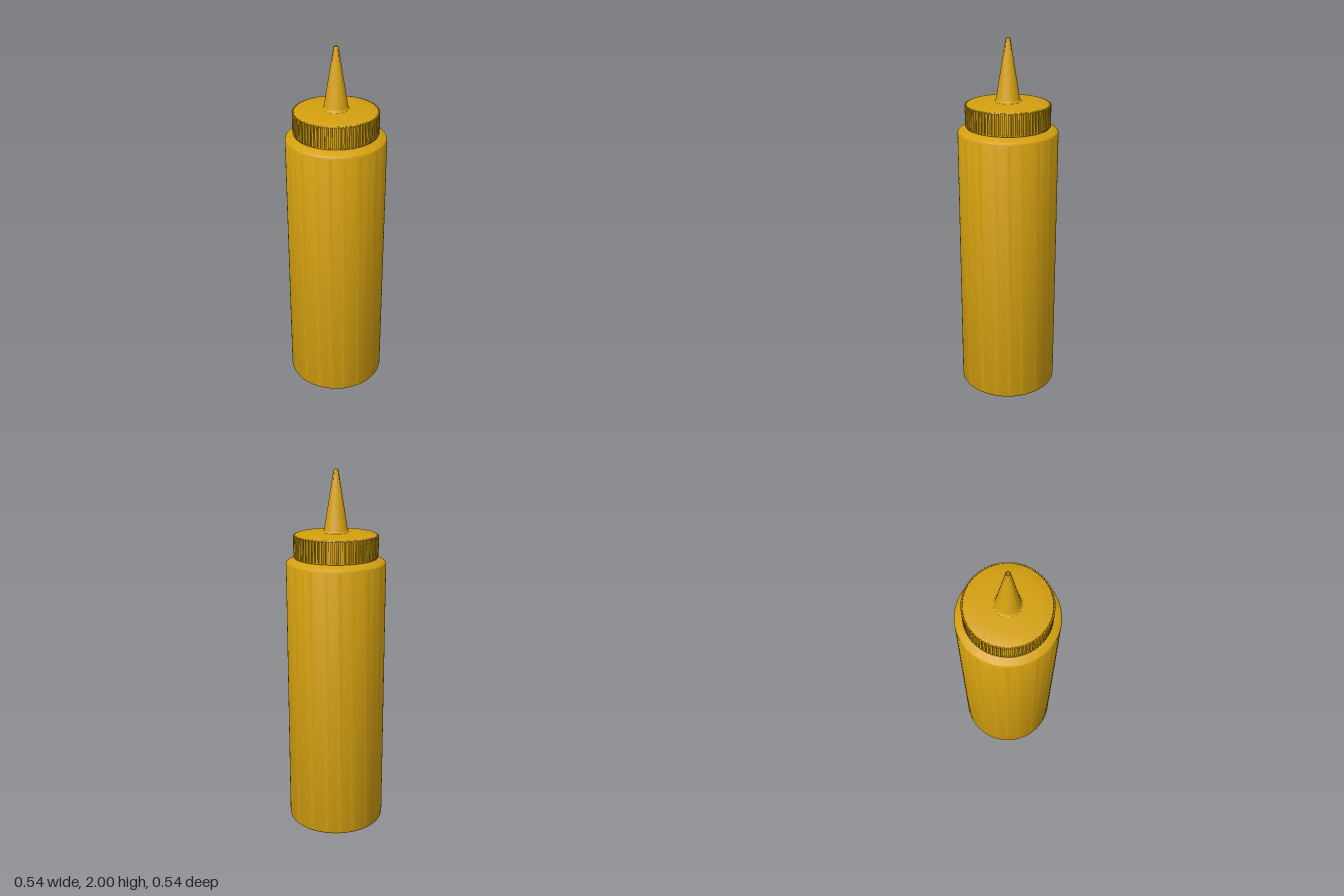
import * as THREE from 'three';
import { toCreasedNormals } from 'three/addons/utils/BufferGeometryUtils.js';

const SEGMENTS = 96;
const RIBS = 72;

// Revolve a [radius, height] profile, listed from the bottom up
function revolve(name, profile, material) {
  const points = profile.map(([r, y]) => new THREE.Vector2(r, y));
  const geometry = toCreasedNormals(new THREE.LatheGeometry(points, SEGMENTS), 0.7);
  const mesh = new THREE.Mesh(geometry, material);
  mesh.name = name;
  return mesh;
}

// Points of a quarter-round corner between two angles (degrees)
function arc(cx, cy, radius, from, to, steps = 5) {
  return Array.from({ length: steps + 1 }, (_, i) => {
    const a = THREE.MathUtils.degToRad(from + ((to - from) * i) / steps);
    return [cx + radius * Math.cos(a), cy + radius * Math.sin(a)];
  });
}

export function createModel() {
  const model = new THREE.Group();
  model.name = 'squeezeBottle';
  const mustard = new THREE.MeshStandardMaterial({ color: 0xd4a010 });
  mustard.name = 'mustard plastic';

  // Bottle body with rounded base, sloped shoulder and hidden neck
  model.add(revolve('body', [
    [0, 0],
    ...arc(0.252, 0.018, 0.018, -90, 0),
    ...arc(0.252, 1.502, 0.018, 0, 65),
    [0.226, 1.53], [0.213, 1.535], [0.213, 1.56], [0, 1.56],
  ], mustard));

  // Cap, with a lower lip and a gently domed top
  const cap = new THREE.Group();
  cap.name = 'cap';
  cap.add(revolve('capShell', [
    [0.2, 1.537], [0.225, 1.537], [0.225, 1.543], [0.222, 1.543],
    ...arc(0.214, 1.653, 0.008, 0, 85),
    [0.15, 1.667], [0.1, 1.67], [0.06, 1.672],
  ], mustard));

  // Grip ribs around the cap
  const ribGeometry = new THREE.BoxGeometry(0.012, 0.113, 0.012);
  for (let i = 0; i < RIBS; i++) {
    const a = (i / RIBS) * Math.PI * 2;
    const rib = new THREE.Mesh(ribGeometry, mustard);
    rib.name = 'gripRib';
    rib.position.set(Math.sin(a) * 0.223, 1.5995, Math.cos(a) * 0.223);
    rib.rotation.y = a;
    cap.add(rib);
  }
  model.add(cap);

  // Tapered nozzle with a flared foot and a small open tip
  model.add(revolve('nozzle', [
    [0.078, 1.669], [0.071, 1.672], [0.066, 1.677], [0.063, 1.685],
    [0.014, 1.99], [0.0135, 1.997], [0.011, 2],
    [0.007, 2], [0.007, 1.9], [0, 1.9],
  ], mustard));

  return model;
}
